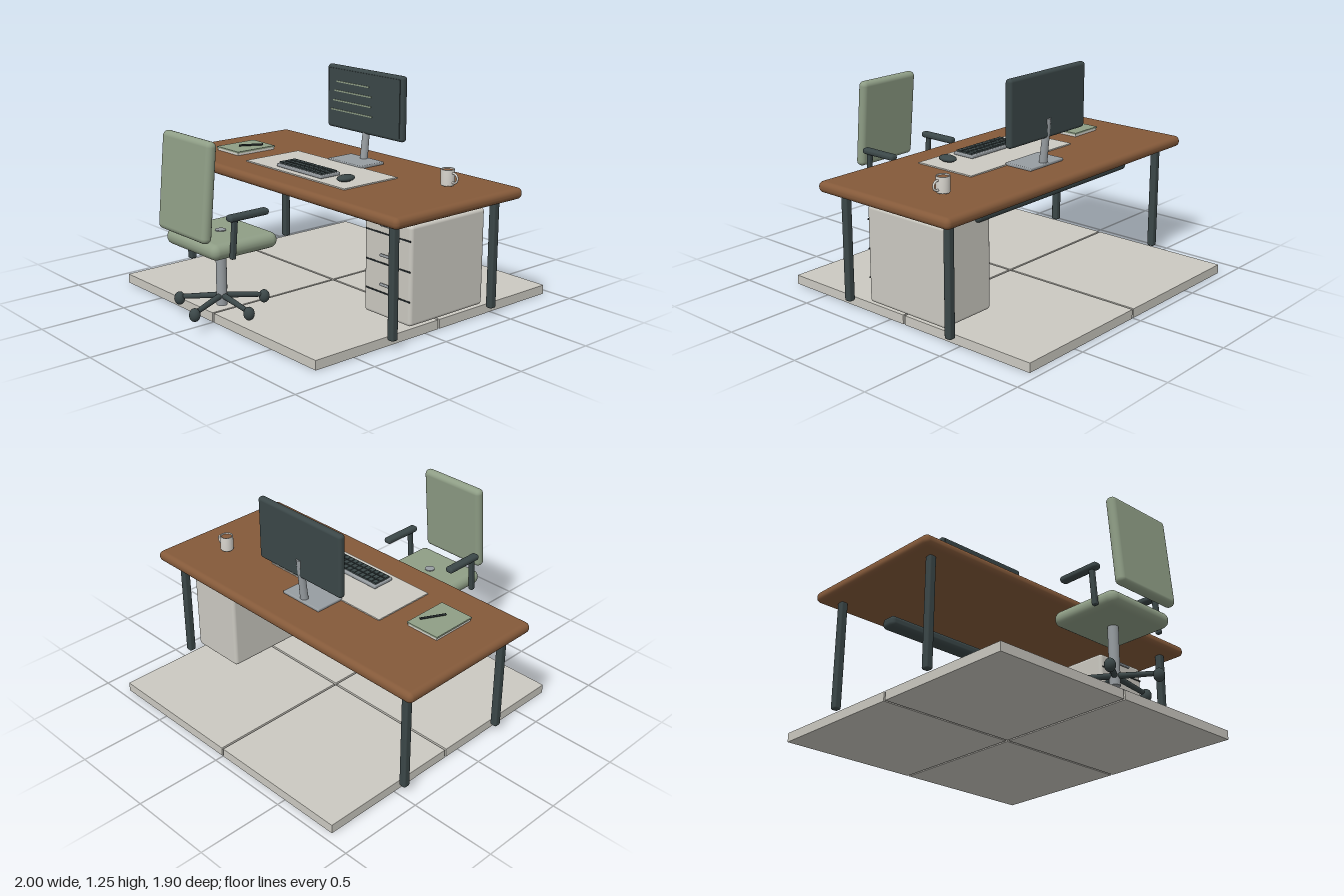
import * as THREE from 'three';
import { RoundedBoxGeometry } from 'three/addons/geometries/RoundedBoxGeometry.js';

function material(name, color) {
  const m = new THREE.MeshStandardMaterial({ color });
  m.name = name;
  return m;
}

export function createModel() {
  const wood = material('walnut wood', 0x855a3a);
  const sage = material('sage fabric', 0x8f9e86);
  const dark = material('dark slate', 0x3b4748);
  const light = material('warm off-white', 0xcbc9c1);
  const white = material('mug white', 0xd8d5ce);
  const steel = material('steel grey', 0x979da1);
  const ink = material('black ink', 0x23292b);

  const model = new THREE.Group();
  model.name = 'deskWorkspace';

  function group(name, parent = model) {
    const g = new THREE.Group();
    g.name = name;
    parent.add(g);
    return g;
  }
  function add(parent, name, geometry, mat, x, y, z) {
    const mesh = new THREE.Mesh(geometry, mat);
    mesh.name = name;
    mesh.position.set(x, y, z);
    parent.add(mesh);
    return mesh;
  }
  // Box given by its extents; r > 0 rounds its edges
  function block(parent, name, mat, [x0, x1], [y0, y1], [z0, z1], r = 0) {
    const s = [x1 - x0, y1 - y0, z1 - z0];
    const geo = r ? new RoundedBoxGeometry(...s, 3, r) : new THREE.BoxGeometry(...s);
    return add(parent, name, geo, mat, (x0 + x1) / 2, (y0 + y1) / 2, (z0 + z1) / 2);
  }
  // Round bar between two points
  function rod(parent, name, mat, a, b, ra, rb = ra, sides = 16) {
    const p = new THREE.Vector3(...a), q = new THREE.Vector3(...b);
    const dir = q.clone().sub(p);
    const mesh = add(parent, name, new THREE.CylinderGeometry(rb, ra, dir.length(), sides), mat, 0, 0, 0);
    mesh.position.copy(p).add(q).multiplyScalar(0.5);
    mesh.quaternion.setFromUnitVectors(new THREE.Vector3(0, 1, 0), dir.normalize());
    return mesh;
  }

  // Four floor tiles with a narrow gap
  const floor = group('floor');
  for (const x of [[-0.85, -0.006], [0.006, 0.85]])
    for (const z of [[-0.95, -0.106], [-0.094, 0.75]])
      block(floor, 'floorTile', light, x, [0, 0.052], z);

  // Desk
  const desk = group('desk');
  block(desk, 'deskTop', wood, [-1, 1], [0.66, 0.722], [-0.565, 0.37], 0.029);
  for (const x of [-0.887, 0.887])
    for (const z of [-0.463, 0.273])
      block(desk, 'deskLeg', dark, [x - 0.021, x + 0.021], [0.043, 0.662], [z - 0.021, z + 0.021], 0.01);
  block(desk, 'rearRail', dark, [-0.64, 0.64], [0.573, 0.638], [-0.435, -0.34], 0.025);

  // Drawer cabinet
  const cabinet = group('drawerCabinet');
  block(cabinet, 'cabinetBody', light, [0.52, 0.87], [0.07, 0.612], [-0.412, 0.135], 0.02);
  for (const y of [0.53, 0.367, 0.206])
    block(cabinet, 'drawerGap', ink, [0.535, 0.865], [y - 0.004, y + 0.004], [0.132, 0.138]);
  for (const y of [0.58, 0.417, 0.257])
    block(cabinet, 'drawerHandle', steel, [0.66, 0.746], [y - 0.007, y + 0.007], [0.145, 0.16], 0.005);

  // Monitor
  const monitor = group('monitor');
  block(monitor, 'monitorCase', dark, [-0.316, 0.316], [0.88, 1.25], [-0.368, -0.325], 0.018);
  block(monitor, 'screen', dark, [-0.298, 0.298], [0.9, 1.232], [-0.326, -0.321]);
  const lines = [[-0.225, 0.05, 1.158], [-0.243, 0.07, 1.103], [-0.255, 0.068, 1.046], [-0.275, 0.075, 0.99]];
  for (const [x0, x1, y] of lines)
    block(monitor, 'screenLine', sage, [x0, x1], [y - 0.004, y + 0.004], [-0.322, -0.317]);
  rod(monitor, 'monitorNeck', steel, [0, 0.728, -0.33], [0, 0.99, -0.359], 0.023, 0.019);
  block(monitor, 'monitorFoot', steel, [-0.14, 0.14], [0.72, 0.738], [-0.36, -0.18], 0.006);

  // Things on the desk
  const items = group('deskItems');
  block(items, 'deskMat', light, [-0.425, 0.425], [0.718, 0.729], [-0.19, 0.195]);

  const keyboard = group('keyboard', items);
  block(keyboard, 'keyboardBase', steel, [-0.195, 0.19], [0.729, 0.748], [0.015, 0.155], 0.006);
  for (let row = 0; row < 3; row++)
    for (let col = 0; col < 11; col++) {
      const x = -0.17 + col * 0.0335, z = 0.047 + row * 0.039;
      block(keyboard, 'key', dark, [x - 0.0145, x + 0.0145], [0.744, 0.758], [z - 0.016, z + 0.016]);
    }

  const mouse = add(items, 'mouse', new THREE.SphereGeometry(1, 24, 14), dark, 0.312, 0.748, 0.084);
  mouse.scale.set(0.039, 0.019, 0.057);

  const notebook = group('notebook', items);
  block(notebook, 'notebookPages', white, [-0.766, -0.564], [0.724, 0.74], [-0.116, 0.151]);
  block(notebook, 'notebookCover', sage, [-0.77, -0.56], [0.738, 0.747], [-0.12, 0.155]);
  rod(notebook, 'pen', ink, [-0.665, 0.757, 0.068], [-0.598, 0.757, -0.06], 0.006, 0.006, 10);

  // Mug with a hollow wall
  const mug = group('mug', items);
  const profile = [[0, 0], [0.034, 0], [0.038, 0.006], [0.038, 0.088], [0.036, 0.09],
    [0.032, 0.088], [0.032, 0.012], [0, 0.012]].map(([r, y]) => new THREE.Vector2(r, y));
  add(mug, 'mugBody', new THREE.LatheGeometry(profile, 28), white, 0.722, 0.73, -0.272);
  add(mug, 'coffee', new THREE.CylinderGeometry(0.0325, 0.0325, 0.008, 24), wood, 0.722, 0.808, -0.272);
  add(mug, 'mugHandle', new THREE.TorusGeometry(0.026, 0.006, 10, 24), white, 0.766, 0.775, -0.272);

  // Office chair, facing the desk
  const chair = group('chair');
  block(chair, 'seat', sage, [-0.228, 0.228], [0.417, 0.503], [0.472, 0.895], 0.042);
  const back = block(chair, 'backrest', sage, [-0.213, 0.213], [0.515, 1.04], [0.865, 0.925], 0.029);
  back.rotation.x = -0.09;
  rod(chair, 'gasColumn', steel, [0, 0.088, 0.69], [0, 0.508, 0.69], 0.029, 0.029, 24);

  // Armrests
  for (const side of [-1, 1]) {
    const x = side * 0.246;
    const post = block(chair, 'armPost', dark, [x - 0.013, x + 0.013], [0.424, 0.642], [0.77, 0.798], 0.006);
    post.rotation.x = -0.08;
    block(chair, 'armPad', dark, [x - 0.025, x + 0.025], [0.624, 0.66], [0.568, 0.82], 0.016);
  }

  // Five-legged base with castors
  const base = group('chairBase', chair);
  for (let i = 0; i < 5; i++) {
    const a = (i / 5) * Math.PI * 2;
    const x = Math.cos(a) * 0.24, z = 0.69 + Math.sin(a) * 0.24;
    rod(base, 'baseLeg', dark, [0, 0.143, 0.69], [x, 0.112, z], 0.017, 0.013, 12);
    const castor = add(base, 'castor', new THREE.SphereGeometry(0.03, 18, 12), dark, x, 0.103, z);
    castor.scale.y = 1.22;
  }
  return model;
}
